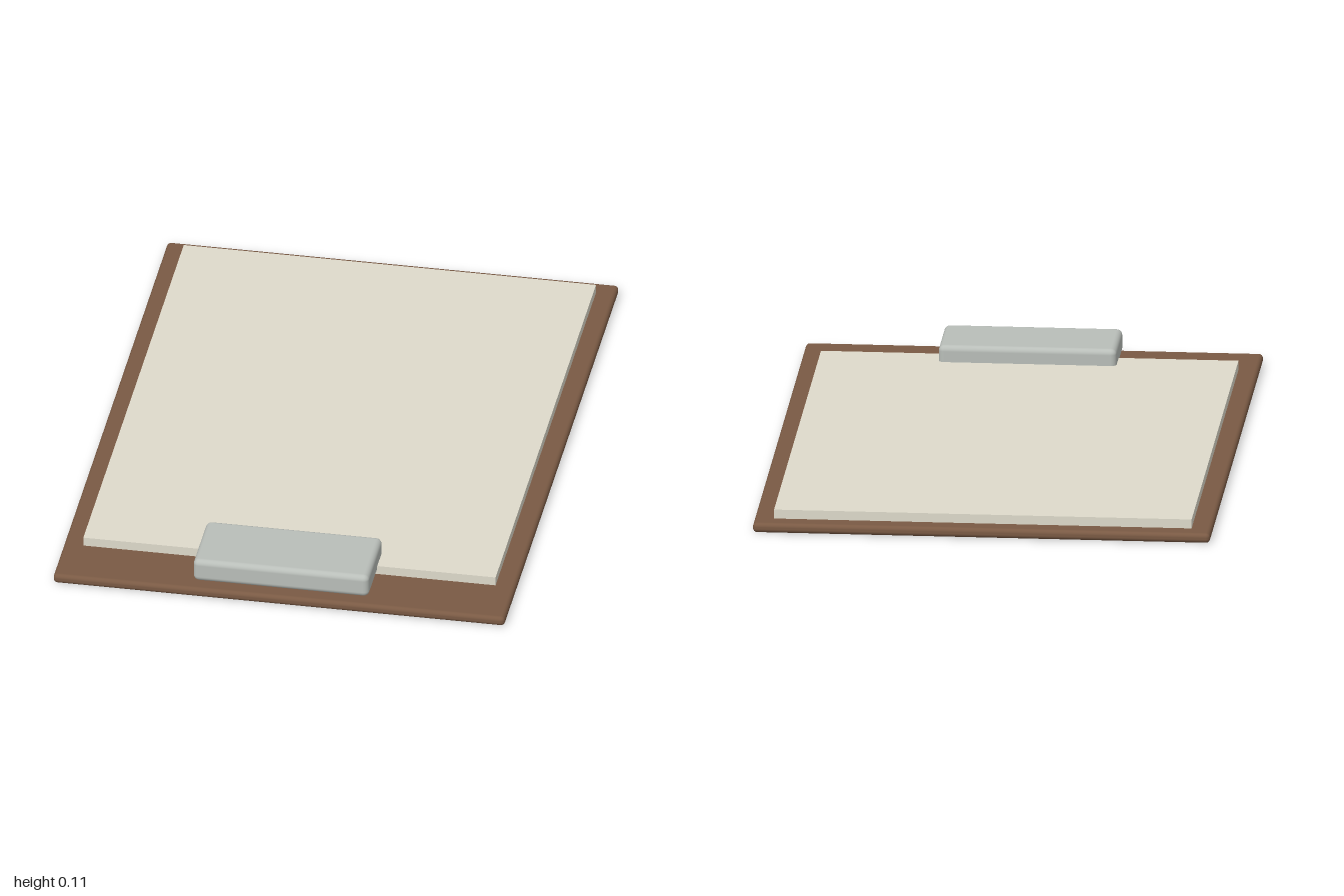
import * as THREE from 'three';
import { RoundedBoxGeometry } from 'three/addons/geometries/RoundedBoxGeometry.js';

// Adds a block given by its [min, max] extents on each axis; radius 0 keeps square edges
function addBlock(group, name, color, [x0, x1], [y0, y1], [z0, z1], radius) {
  const size = [x1 - x0, y1 - y0, z1 - z0];
  const geometry = radius > 0
    ? new RoundedBoxGeometry(...size, 3, radius)
    : new THREE.BoxGeometry(...size);
  const mesh = new THREE.Mesh(geometry, new THREE.MeshStandardMaterial({ color }));
  mesh.name = name;
  mesh.position.set((x0 + x1) / 2, (y0 + y1) / 2, (z0 + z1) / 2);
  group.add(mesh);
}

export function createModel() {
  const group = new THREE.Group();
  group.name = 'clipboard';

  // Wooden backing board with softened edges
  addBlock(group, 'board', 0x7a5a44, [-0.717, 0.717], [0, 0.031], [-1, 1], 0.013);

  // Stack of paper, tucked under the clip at the front
  addBlock(group, 'paperStack', 0xdedacb, [-0.655, 0.655], [0.03, 0.06], [-0.94, 0.812], 0);

  // Metal clip gripping the front edge of the paper
  addBlock(group, 'clip', 0xb9beb9, [-0.279, 0.279], [0.036, 0.112], [0.72, 0.966], 0.018);

  return group;
}
